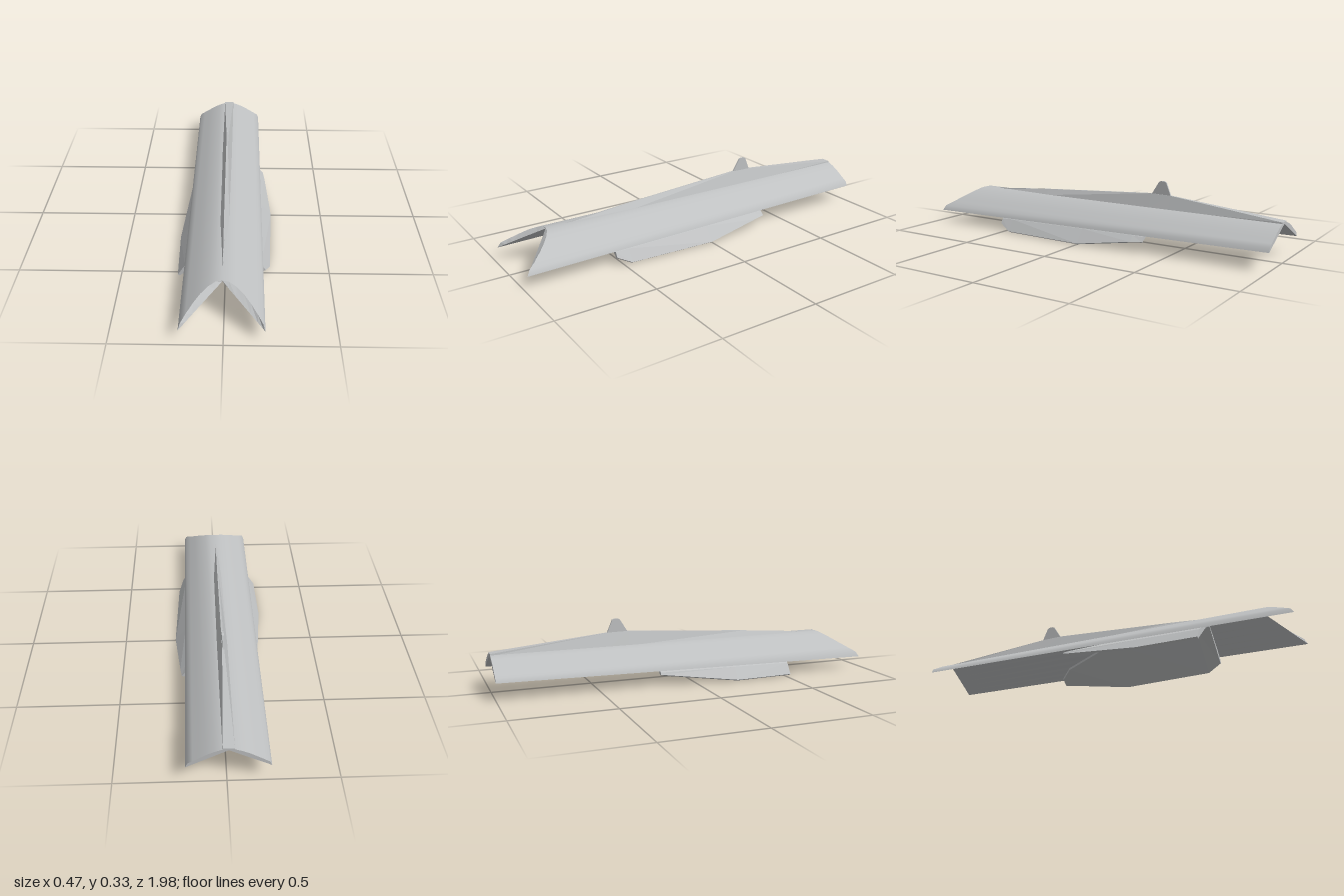
import * as THREE from 'three';

const grey = new THREE.MeshStandardMaterial({ color: 0xbfc1c2, side: THREE.DoubleSide });
grey.name = 'light grey';

const CX = -0.007; // centre line of the hull
const HALF = 0.187; // half width of the hull

// Skin a list of cross-sections, each a list of [x, y, z]
function loft(name, rows, { smooth = false, closed = false } = {}) {
  const n = rows[0].length, index = [];
  for (let r = 0; r < rows.length - 1; r++) {
    for (let i = 0; i < (closed ? n : n - 1); i++) {
      const a = r * n + i, b = r * n + (i + 1) % n;
      index.push(a, b, a + n, b, b + n, a + n);
    }
  }
  if (closed) { // end caps
    const last = (rows.length - 1) * n;
    for (let i = 1; i < n - 1; i++) {
      index.push(0, i + 1, i, last, last + i, last + i + 1);
    }
  }
  let geo = new THREE.BufferGeometry();
  geo.setAttribute('position', new THREE.Float32BufferAttribute(rows.flat(2), 3));
  geo.setIndex(index);
  if (!smooth) geo = geo.toNonIndexed();
  geo.computeVertexNormals();
  const mesh = new THREE.Mesh(geo, grey);
  mesh.name = name;
  return mesh;
}

// Half of the arched section: distance from the centre line, height
const arch = [[0, 0.191], [0.03, 0.19], [0.061, 0.178], [0.095, 0.159], [0.125, 0.136],
  [0.155, 0.11], [0.178, 0.088], [HALF, 0.062]];
const profile = [...arch.slice(1).reverse().map(([u, y]) => [-u, y]), ...arch];

// Lower edge rises slightly towards the rear
const rise = (u, z) => 0.028 * ((0.98 - z) / 1.98) * Math.pow(Math.abs(u) / HALF, 3);
const outerPoint = ([u, y], z) => [CX + u, Math.min(y + rise(u, z), 0.191), z];
const innerPoint = ([u], z) => {
  const t = Math.abs(u) / HALF;
  return [CX + u, 0.187 + (0.062 + rise(HALF, z) - 0.187) * t, z];
};

function makeHull() {
  const hull = new THREE.Group();
  hull.name = 'hull';
  const t = (u) => Math.abs(u) / HALF;
  // the nose is notched; the skin is cut back a little behind the notch
  const skinFront = profile.map((p) => outerPoint(p, 0.8 + 0.18 * Math.pow(t(p[0]), 1.8)));
  const innerFront = profile.map((p) => innerPoint(p, 0.8 + 0.18 * t(p[0])));
  const skinRear = profile.map((p) => outerPoint(p, -1));
  const innerRear = profile.map((p) => innerPoint(p, -1));
  hull.add(
    loft('archedSkin', [skinFront, skinRear], { smooth: true }),
    loft('underside', [innerRear, innerFront]),
    loft('noseFace', [innerFront, skinFront]),
    loft('rearFace', [skinRear, innerRear]),
  );
  return hull;
}

// Spine on top: z, half width of base, half width of crest, crest height
function makeSpine() {
  const stations = [[0.7, 0.001, 0.0005, 0.192], [0.35, 0.022, 0.003, 0.219],
    [-0.3, 0.027, 0.005, 0.26], [-0.41, 0.027, 0.005, 0.258], [-1, 0.027, 0.026, 0.197]];
  return loft('spine', stations.map(([z, w, c, y]) => [
    [CX - w, 0.187, z], [CX - c, y, z], [CX + c, y, z], [CX + w, 0.187, z],
  ]), { closed: true });
}

// Small upright fin on the crest
function makeTopFin() {
  const outline = [[-0.3, 0.25], [-0.345, 0.322], [-0.355, 0.327], [-0.375, 0.327],
    [-0.385, 0.322], [-0.415, 0.25]];
  return loft('topFin', [-0.011, -0.003].map((x) => outline.map(([z, y]) => [x, y, z])),
    { closed: true });
}

// Side fin: each station holds z, inner top, tip and hull-side corner
function makeSideFin(name, side, stations) {
  return loft(name, stations.map(([z, top, tip, edge]) => [
    [side * top[0], top[1] - 0.012, z],
    [side * (tip[0] - 0.01), tip[1] - 0.006, z],
    [side * tip[0], tip[1], z],
    [side * edge[0], edge[1], z],
    [side * top[0], top[1], z],
  ]), { closed: true });
}

export function createModel() {
  const model = new THREE.Group();
  model.name = 'archedCraft';
  model.add(makeHull(), makeSpine(), makeTopFin());
  model.add(makeSideFin('rightSideFin', -1, [
    [0.53, [0.04, 0.163], [0.228, 0.008], [0.193, 0.062]],
    [0.22, [0.04, 0.163], [0.235, 0.006], [0.193, 0.066]],
    [-0.19, [0.135, 0.1], [0.195, 0.06], [0.19, 0.07]],
  ]));
  model.add(makeSideFin('leftSideFin', 1, [
    [0.53, [0.005, 0.177], [0.192, 0.04], [0.178, 0.064]],
    [0.46, [0.005, 0.177], [0.215, 0.007], [0.178, 0.066]],
    [0, [0.005, 0.177], [0.233, 0.006], [0.178, 0.073]],
    [-0.3, [0.1, 0.115], [0.205, 0.05], [0.178, 0.077]],
    [-0.36, [0.15, 0.085], [0.197, 0.056], [0.178, 0.077]],
  ]));
  return model;
}
